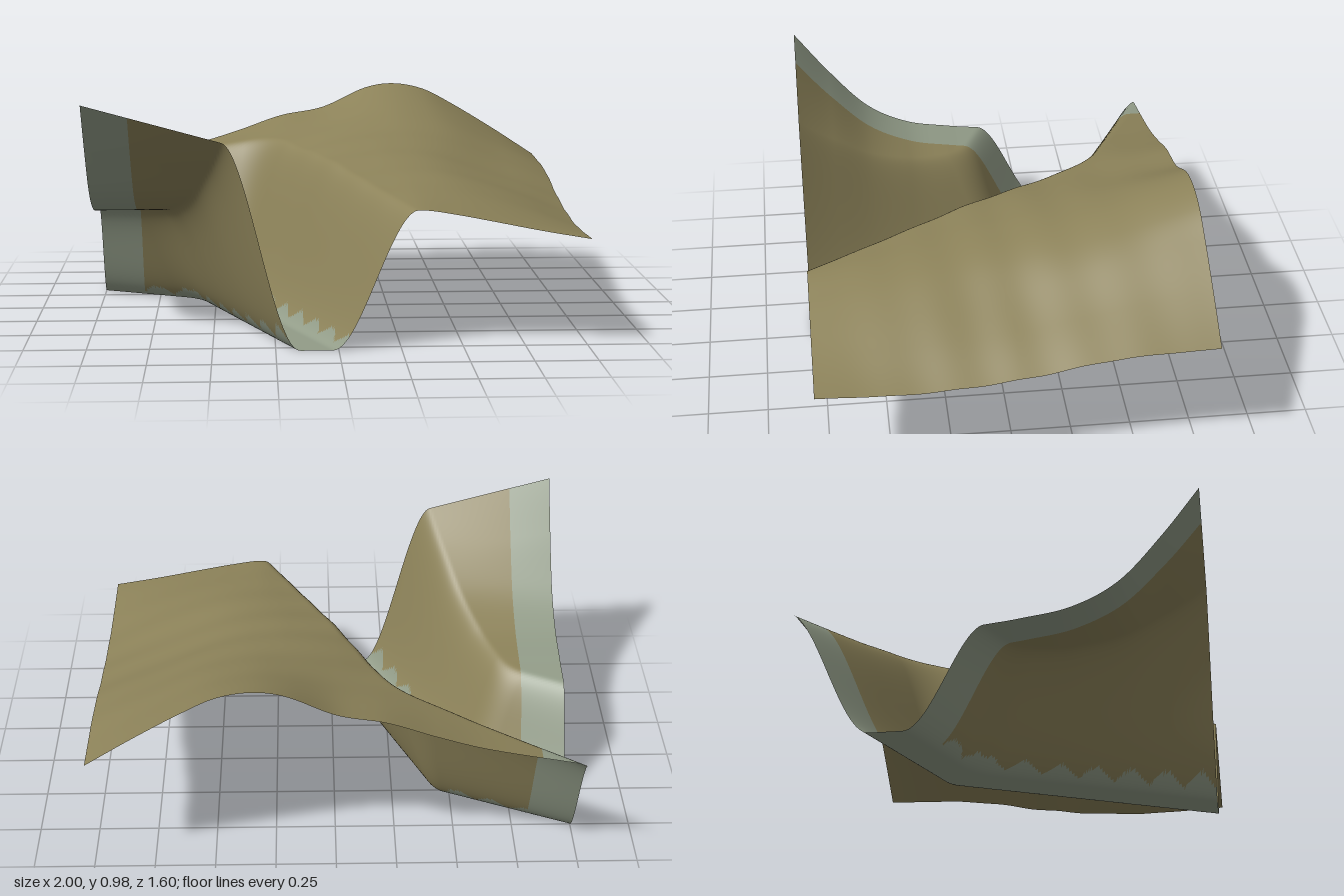
import * as THREE from 'three';

const NX = 200, NZ = 160;          // one cell per 0.01 units
const STRIP_X = -0.82;             // edge of the pale side strip
const BEND = [-0.51, -0.2], MOUTH = [0.08, 1.2], SOURCE = [-1.5, -0.64];

const earth = new THREE.MeshStandardMaterial({ color: 0x8c8259, side: THREE.DoubleSide });
earth.name = 'dry earth';
const bed = new THREE.MeshStandardMaterial({ color: 0x929c88, side: THREE.DoubleSide });
bed.name = 'pale river bed';

// Smooth curve through a few samples
function sample(xs, ys, x) {
  const n = xs.length;
  if (x <= xs[0]) return ys[0];
  if (x >= xs[n - 1]) return ys[n - 1];
  let i = 0;
  while (x > xs[i + 1]) i++;
  const slope = (k) => {
    const a = Math.max(0, k - 1), b = Math.min(n - 1, k + 1);
    return (ys[b] - ys[a]) / (xs[b] - xs[a]);
  };
  const w = xs[i + 1] - xs[i], t = (x - xs[i]) / w, t2 = t * t, t3 = t2 * t;
  return (2 * t3 - 3 * t2 + 1) * ys[i] + (t3 - 2 * t2 + t) * w * slope(i)
    + (3 * t2 - 2 * t3) * ys[i + 1] + (t3 - t2) * w * slope(i + 1);
}

// Large plateau: heights across x for rows of z
const PX = [-1, -0.6, -0.4, -0.2, 0, 0.2, 0.33, 0.47, 0.6, 0.8, 1];
const PZ = [-0.8, -0.4, 0, 0.4, 0.8];
const PLATEAU = [
  [0.53, 0.61, 0.67, 0.74, 0.78, 0.87, 0.89, 0.865, 0.8, 0.68, 0.55],
  [0.53, 0.6, 0.64, 0.68, 0.72, 0.76, 0.77, 0.75, 0.71, 0.62, 0.53],
  [0.55, 0.58, 0.6, 0.62, 0.66, 0.69, 0.685, 0.66, 0.62, 0.54, 0.465],
  [0.56, 0.57, 0.58, 0.59, 0.6, 0.615, 0.62, 0.61, 0.58, 0.51, 0.43],
  [0.55, 0.55, 0.55, 0.55, 0.55, 0.55, 0.56, 0.54, 0.515, 0.475, 0.44],
];
const plateauHeight = (x, z) => sample(PZ, PLATEAU.map((row) => sample(PX, row, x)), z)
  + 0.006 * Math.sin(9 * x + 14 * z) * Math.sin(11 * z - 6 * x) * (0.8 - Math.abs(z)) / 0.8;

// Corner hill: low bench rising to a peak at the front
const HZ = [-0.3, -0.06, 0.1, 0.3, 0.48, 0.65, 0.8];
const HILL = [0.4, 0.43, 0.45, 0.49, 0.59, 0.78, 0.98];
const hillHeight = (x, z) => sample(HZ, HILL, z) * (1 - 0.28 * (x + 1) * THREE.MathUtils.smoothstep(z, 0.3, 0.8));

// Distance from a point to a stretch of the river, and position along it
function toSegment(x, z, a, b) {
  const dx = b[0] - a[0], dz = b[1] - a[1], len = Math.hypot(dx, dz);
  const t = THREE.MathUtils.clamp(((x - a[0]) * dx + (z - a[1]) * dz) / (len * len), 0, 1);
  return { d: Math.hypot(x - a[0] - t * dx, z - a[1] - t * dz), along: t * len };
}

function river(x, z) {
  const lower = toSegment(x, z, BEND, MOUTH), upper = toSegment(x, z, BEND, SOURCE);
  const near = lower.d < upper.d ? lower : upper;
  const lineX = BEND[0] + (z - BEND[1]) * (MOUTH[0] - BEND[0]) / (MOUTH[1] - BEND[1]);
  const lineZ = BEND[1] + (x - BEND[0]) * (SOURCE[1] - BEND[1]) / (SOURCE[0] - BEND[0]);
  const inside = x < lineX && z > lineZ;
  // Round off the crease on the inside of the bend
  const k = 0.06, h = Math.max(k - Math.abs(lower.d - upper.d), 0) / k;
  return { d: inside ? near.d - h * h * k / 4 : near.d, along: near.along, inside };
}

function height(x, z) {
  const r = river(x, z);
  const wall = THREE.MathUtils.smoothstep(r.d, 0.06, r.inside ? 0.34 : 0.37);
  return wall * (r.inside ? hillHeight(x, z) : plateauHeight(x, z));
}

// Pale ground: the side strip and the scalloped river bed
function isPale(x, z) {
  if (x < STRIP_X) return true;
  const r = river(x, z);
  const scallop = Math.abs(Math.sin(Math.PI * r.along / 0.15));
  return r.d < 0.092 + 0.03 * scallop;
}

export function createModel() {
  const group = new THREE.Group();
  group.name = 'river valley terrain';

  // Height field on a regular grid
  const grid = new THREE.PlaneGeometry(2, 1.6, NX, NZ).rotateX(-Math.PI / 2);
  const pos = grid.attributes.position;
  for (let i = 0; i < pos.count; i++) {
    pos.setY(i, height(pos.getX(i), pos.getZ(i)));
  }
  grid.computeVertexNormals();

  // Sort the triangles by ground type
  const land = [], pale = [], index = grid.index.array;
  for (let i = 0; i < index.length; i += 3) {
    const tri = [index[i], index[i + 1], index[i + 2]];
    const cx = tri.reduce((s, v) => s + pos.getX(v), 0) / 3;
    const cz = tri.reduce((s, v) => s + pos.getZ(v), 0) / 3;
    (isPale(cx, cz) ? pale : land).push(...tri);
  }

  // Both parts share the same vertices and smooth normals
  const addPart = (name, faces, material) => {
    const geometry = new THREE.BufferGeometry();
    geometry.setAttribute('position', pos);
    geometry.setAttribute('normal', grid.attributes.normal);
    geometry.setIndex(faces);
    const mesh = new THREE.Mesh(geometry, material);
    mesh.name = name;
    group.add(mesh);
  };
  addPart('hillsides', land, earth);
  addPart('riverBedAndSideStrip', pale, bed);
  return group;
}
